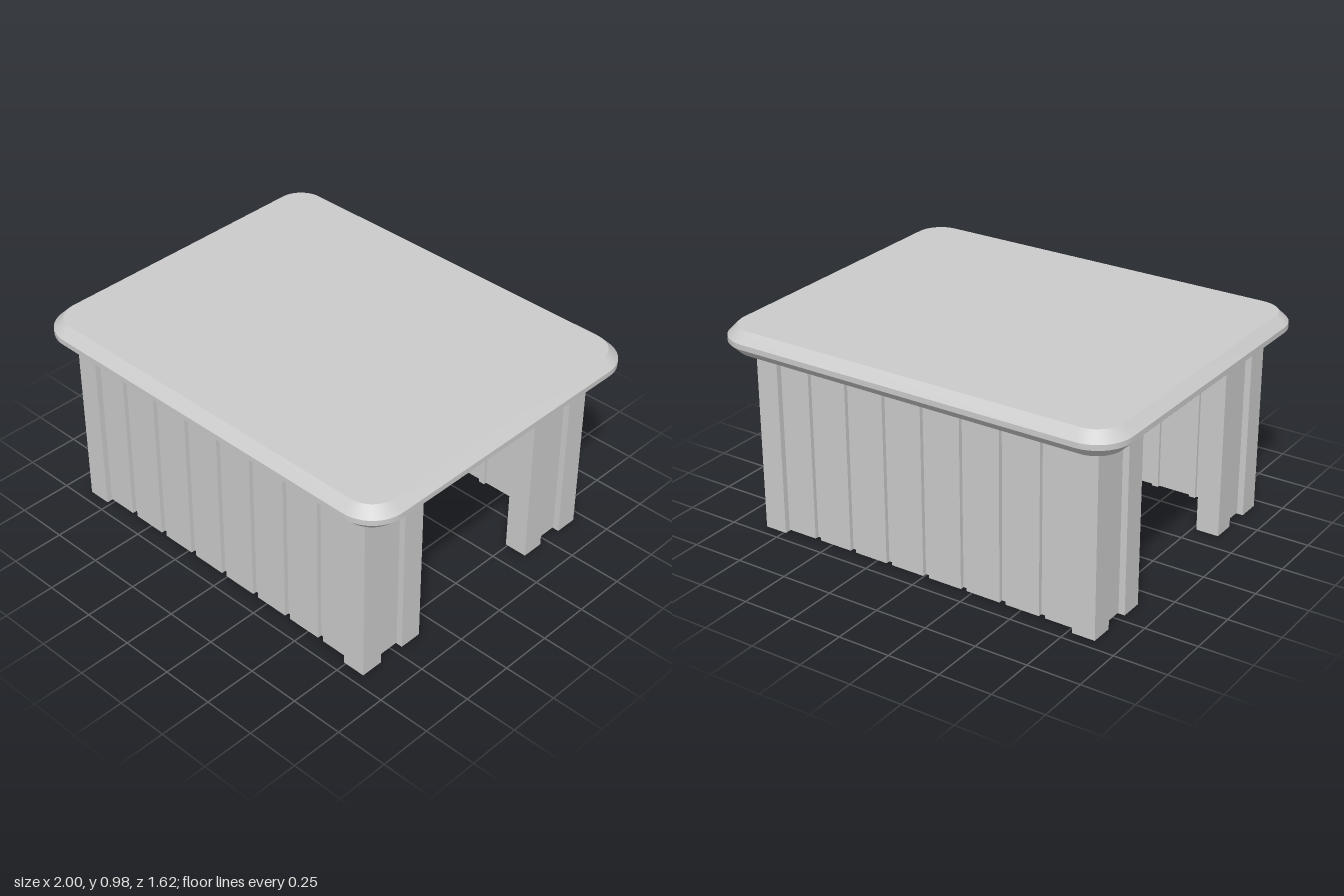
import * as THREE from 'three';
import { toCreasedNormals } from 'three/addons/utils/BufferGeometryUtils.js';

const material = new THREE.MeshStandardMaterial({ color: 0xcccccc });

// Box given by its limits on each axis
function box(name, x0, x1, y0, y1, z0, z1) {
  const mesh = new THREE.Mesh(new THREE.BoxGeometry(x1 - x0, y1 - y0, z1 - z0), material);
  mesh.position.set((x0 + x1) / 2, (y0 + y1) / 2, (z0 + z1) / 2);
  mesh.name = name;
  return mesh;
}

// Rounded slab with a chamfered rim
function tabletop() {
  const w = 0.955, d = 0.765, r = 0.12;
  const shape = new THREE.Shape();
  shape.absarc(w - r, d - r, r, 0, Math.PI / 2);
  shape.absarc(r - w, d - r, r, Math.PI / 2, Math.PI);
  shape.absarc(r - w, r - d, r, Math.PI, Math.PI * 1.5);
  shape.absarc(w - r, r - d, r, Math.PI * 1.5, Math.PI * 2);
  shape.closePath();
  const geometry = new THREE.ExtrudeGeometry(shape, {
    depth: 0.025, bevelThickness: 0.045, bevelSize: 0.045, bevelSegments: 1, curveSegments: 6,
  });
  geometry.rotateX(-Math.PI / 2);
  const mesh = new THREE.Mesh(toCreasedNormals(geometry, 0.6), material);
  mesh.position.y = 0.91;
  mesh.name = 'tabletop';
  return mesh;
}

// One long wall; side is +1 for the front and -1 for the back
function wall(side) {
  const group = new THREE.Group();
  group.name = side > 0 ? 'frontWall' : 'backWall';
  const top = 0.87, lift = 0.005;
  const left = -0.77, right = 0.74, count = 8, pitch = 0.1972, gap = 0.03;
  const add = (name, x0, x1, y0, za, zb) =>
    group.add(box(name, x0, x1, y0, top, Math.min(za * side, zb * side), Math.max(za * side, zb * side)));

  // Wide boards with narrow recessed battens between them
  for (let i = 0; i < count; i++) {
    const seam = -0.607 + pitch * i;
    const x0 = i === 0 ? left : seam - pitch + gap / 2;
    const x1 = i === count - 1 ? right : seam - gap / 2;
    add('board', x0, x1, lift, 0.62, 0.67);
    if (i < count - 1) add('batten', seam - gap / 2, seam + gap / 2, lift, 0.605, 0.65);
  }

  // Corner post, return panel and inner post at each end
  for (const [x0, x1] of [[-0.88, left], [right, 0.85]]) {
    add('cornerPost', x0, x1, 0, 0.588, 0.697);
    add('returnPanel', x0 + 0.03, x1 - 0.03, lift, 0.46, 0.588);
    add('innerPost', x0, x1, 0, 0.352, 0.46);
  }
  return group;
}

export function createModel() {
  const model = new THREE.Group();
  model.name = 'table';
  model.add(tabletop(), wall(1), wall(-1));
  return model;
}
